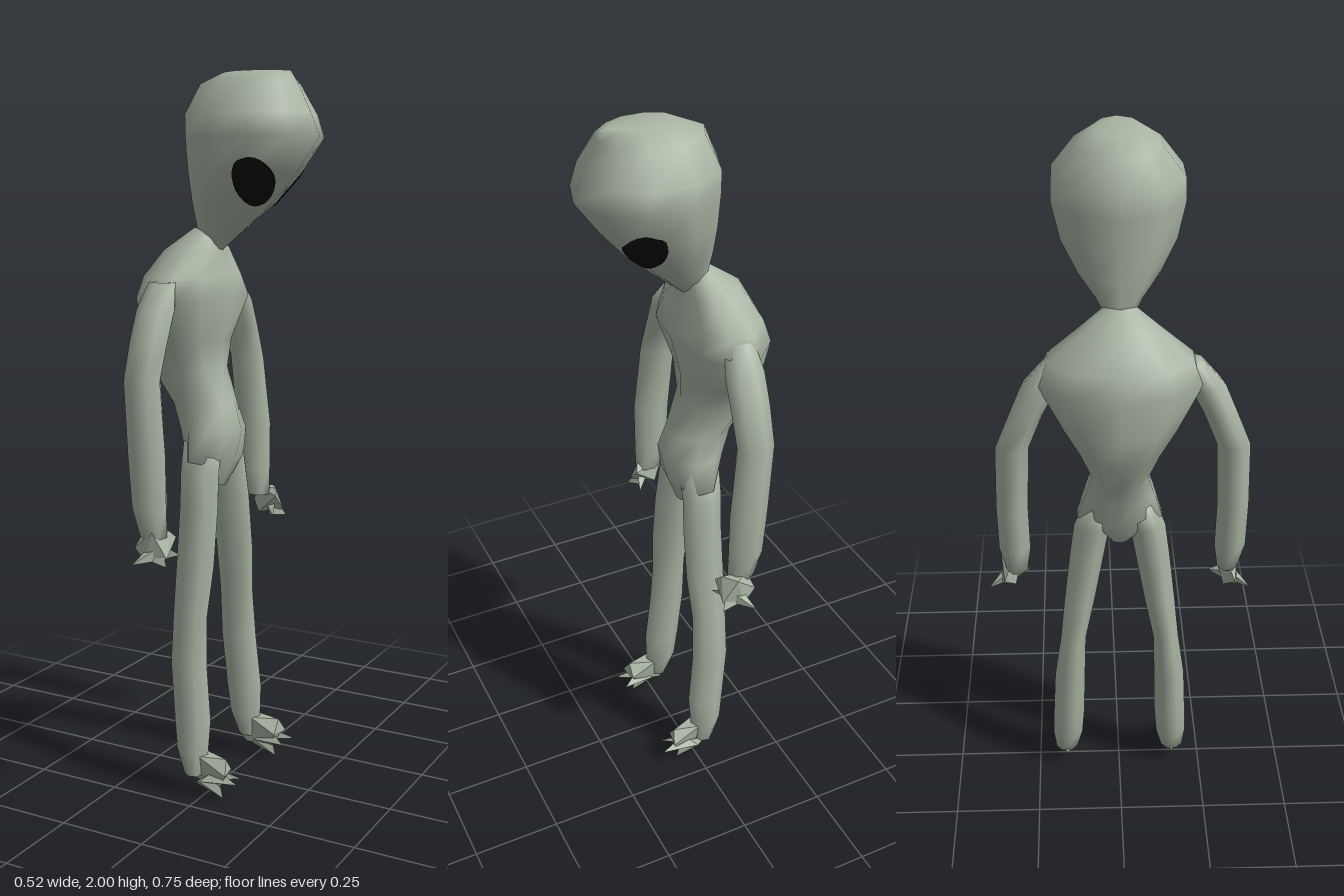
import * as THREE from 'three';
import { ConvexGeometry } from 'three/addons/geometries/ConvexGeometry.js';

// Smooth skin over rings listed bottom to top: [y, xBack, xFront, zHalf, zCentre, xWidest]
function loft(rings, sides) {
  const pos = [], idx = [];
  for (const [y, xb, xf, zh, zc = 0, cx = (xb + xf) / 2] of rings) {
    for (let i = 0; i < sides; i++) {
      const a = (i / sides) * Math.PI * 2, c = Math.cos(a);
      pos.push(cx + c * (c > 0 ? xf - cx : cx - xb), y, zc + Math.sin(a) * zh);
    }
  }
  const last = (rings.length - 1) * sides;
  for (let r = 0; r < last; r += sides) {
    for (let i = 0; i < sides; i++) {
      const a = r + i, b = r + (i + 1) % sides, c = a + sides, d = b + sides;
      idx.push(a, c, b, b, c, d);
    }
  }
  // end caps
  for (let i = 1; i < sides - 1; i++) {
    idx.push(0, i, i + 1, last, last + i + 1, last + i);
  }
  const g = new THREE.BufferGeometry();
  g.setAttribute('position', new THREE.Float32BufferAttribute(pos, 3));
  g.setIndex(idx);
  g.computeVertexNormals();
  return g;
}

// Faceted lump from corner points, mirrored by side
function hull(points, s) {
  return new ConvexGeometry(points.map(([x, y, z]) => new THREE.Vector3(x, y, z * s)));
}

// Thin almond patch laid over the head surface
function eyeGeometry(head, s) {
  const major = new THREE.Vector3(0, 0.68, 0.73 * s).normalize();
  const n = new THREE.Vector3(0.7, -0.515, 0.48 * s).normalize();
  const minor = new THREE.Vector3().crossVectors(n, major).normalize();
  const centre = new THREE.Vector3(0.115, 1.715, 0.095 * s);
  const ray = new THREE.Raycaster();
  const pos = [], idx = [], rows = 8, seg = 24;
  for (let r = 0; r <= rows; r++) {
    for (let i = 0; i < seg; i++) {
      const a = (i / seg) * Math.PI * 2, k = r / rows;
      const p = centre.clone()
        .addScaledVector(major, Math.cos(a) * 0.085 * k)
        .addScaledVector(minor, Math.sin(a) * 0.053 * k);
      ray.set(p.clone().addScaledVector(n, 0.5), n.clone().negate());
      const hit = ray.intersectObject(head)[0];
      const q = (hit ? hit.point : p).clone().addScaledVector(n, 0.004);
      pos.push(q.x, q.y, q.z);
    }
  }
  for (let r = 0; r < rows; r++) {
    for (let i = 0; i < seg; i++) {
      const a = r * seg + i, b = r * seg + (i + 1) % seg, c = a + seg, d = b + seg;
      idx.push(a, c, b, b, c, d);
    }
  }
  const g = new THREE.BufferGeometry();
  g.setAttribute('position', new THREE.Float32BufferAttribute(pos, 3));
  g.setIndex(idx);
  g.computeVertexNormals();
  return g;
}

export function createModel() {
  const model = new THREE.Group();
  const skin = new THREE.MeshStandardMaterial({ color: 0xa9b5a4 });
  skin.name = 'greyGreenSkin';
  const black = new THREE.MeshStandardMaterial({ color: 0x0a0a0a, side: THREE.DoubleSide });
  black.name = 'eyeBlack';
  const add = (name, geometry, material = skin, parent = model) => {
    const mesh = new THREE.Mesh(geometry, material);
    mesh.name = name;
    parent.add(mesh);
    return mesh;
  };

  // Head: narrow chin sloping forward to a broad skull
  const head = add('head', loft([
    [1.53, -0.10, -0.03, 0.022],
    [1.60, -0.107, 0.055, 0.065, 0, -0.02],
    [1.66, -0.111, 0.125, 0.112, 0, 0.01],
    [1.74, -0.117, 0.195, 0.157, 0, 0.05],
    [1.83, -0.124, 0.26, 0.18, 0, 0.08],
    [1.89, -0.126, 0.235, 0.178, 0, 0.08],
    [1.97, -0.09, 0.195, 0.115, 0, 0.07],
    [2.00, -0.02, 0.175, 0.065, 0, 0.07],
  ], 10));
  head.updateMatrixWorld();

  // Torso: hips, pinched waist, hunched back and shoulders
  add('torso', loft([
    [0.87, -0.09, -0.02, 0.03],
    [0.95, -0.12, 0.01, 0.125],
    [1.03, -0.15, 0.03, 0.10],
    [1.10, -0.18, 0.01, 0.08],
    [1.20, -0.24, -0.03, 0.11],
    [1.28, -0.25, -0.03, 0.155],
    [1.40, -0.26, 0.00, 0.225, 0, -0.1],
    [1.46, -0.24, -0.02, 0.20, 0, -0.1],
    [1.53, -0.20, -0.03, 0.11, 0, -0.09],
    [1.59, -0.115, -0.04, 0.035],
  ], 10));

  for (const s of [1, -1]) {
    const side = s > 0 ? 'left' : 'right';
    const shift = s > 0 ? 0.007 : -0.008;

    add(side + 'Eye', eyeGeometry(head, s), black);

    // Arm, from wrist to shoulder
    add(side + 'Arm', loft([
      [0.78, -0.11, -0.03, 0.03, 0.300],
      [0.86, -0.13, -0.03, 0.045, 0.303],
      [1.00, -0.14, -0.03, 0.045, 0.305],
      [1.20, -0.155, -0.05, 0.046, 0.297],
      [1.30, -0.16, -0.05, 0.046, 0.257],
      [1.38, -0.16, -0.05, 0.05, 0.22],
      [1.45, -0.15, -0.07, 0.03, 0.18],
    ].map(([y, b, f, h, z]) => [y, b, f, h, (z + shift) * s + 0]), 7));

    // Leg, from ankle to hip
    add(side + 'Leg', loft([
      [0.06, -0.06, 0.00, 0.033, 0.165],
      [0.13, -0.085, 0.01, 0.046, 0.160],
      [0.22, -0.095, 0.015, 0.048, 0.155],
      [0.38, -0.11, 0.00, 0.046, 0.149],
      [0.52, -0.11, -0.005, 0.038, 0.137],
      [0.66, -0.11, 0.005, 0.045, 0.116],
      [0.82, -0.11, 0.005, 0.05, 0.093],
      [0.92, -0.115, 0.00, 0.052, 0.078],
      [1.00, -0.12, 0.00, 0.045, 0.055],
    ].map(([y, b, f, h, z]) => [y, b, f, h, z * s]), 7));

    // Hand: faceted palm with pointed fingers and thumb
    const hand = new THREE.Group();
    hand.name = side + 'Hand';
    hand.position.set(s > 0 ? 0 : 0.02, 0, shift);
    model.add(hand);
    add('palm', hull([
      [-0.10, 0.80, 0.30], [-0.03, 0.80, 0.29], [-0.06, 0.80, 0.33],
      [-0.12, 0.75, 0.32], [-0.02, 0.78, 0.27], [-0.02, 0.73, 0.32],
      [-0.09, 0.72, 0.29], [-0.08, 0.715, 0.33],
    ], s), skin, hand);
    [[-0.10, 0.715, 0.367], [-0.015, 0.71, 0.33], [-0.02, 0.725, 0.25]].forEach((tip, i) => {
      add('finger' + (i + 1), hull([
        tip, [-0.08, 0.755, 0.31], [-0.05, 0.715, 0.29], [-0.04, 0.765, 0.31], [-0.06, 0.72, 0.33],
      ], s), skin, hand);
    });

    // Foot: faceted wedge with splayed toes
    const foot = new THREE.Group();
    foot.name = side + 'Foot';
    model.add(foot);
    add('sole', hull([
      [-0.07, 0.06, 0.165], [-0.03, 0.035, 0.15], [-0.01, 0.12, 0.135], [-0.01, 0.12, 0.185],
      [0.07, 0.12, 0.165], [0.08, 0.08, 0.19], [0.07, 0.08, 0.135], [0.05, 0.03, 0.165],
    ], s), skin, foot);
    [[0.06, 0.0, 0.165], [0.115, 0.06, 0.185], [0.10, 0.055, 0.13]].forEach((tip, i) => {
      add('toe' + (i + 1), hull([
        tip, [0.0, 0.05, 0.14], [0.0, 0.05, 0.195], [0.04, 0.085, 0.165], [-0.03, 0.03, 0.165],
      ], s), skin, foot);
    });
  }
  return model;
}
